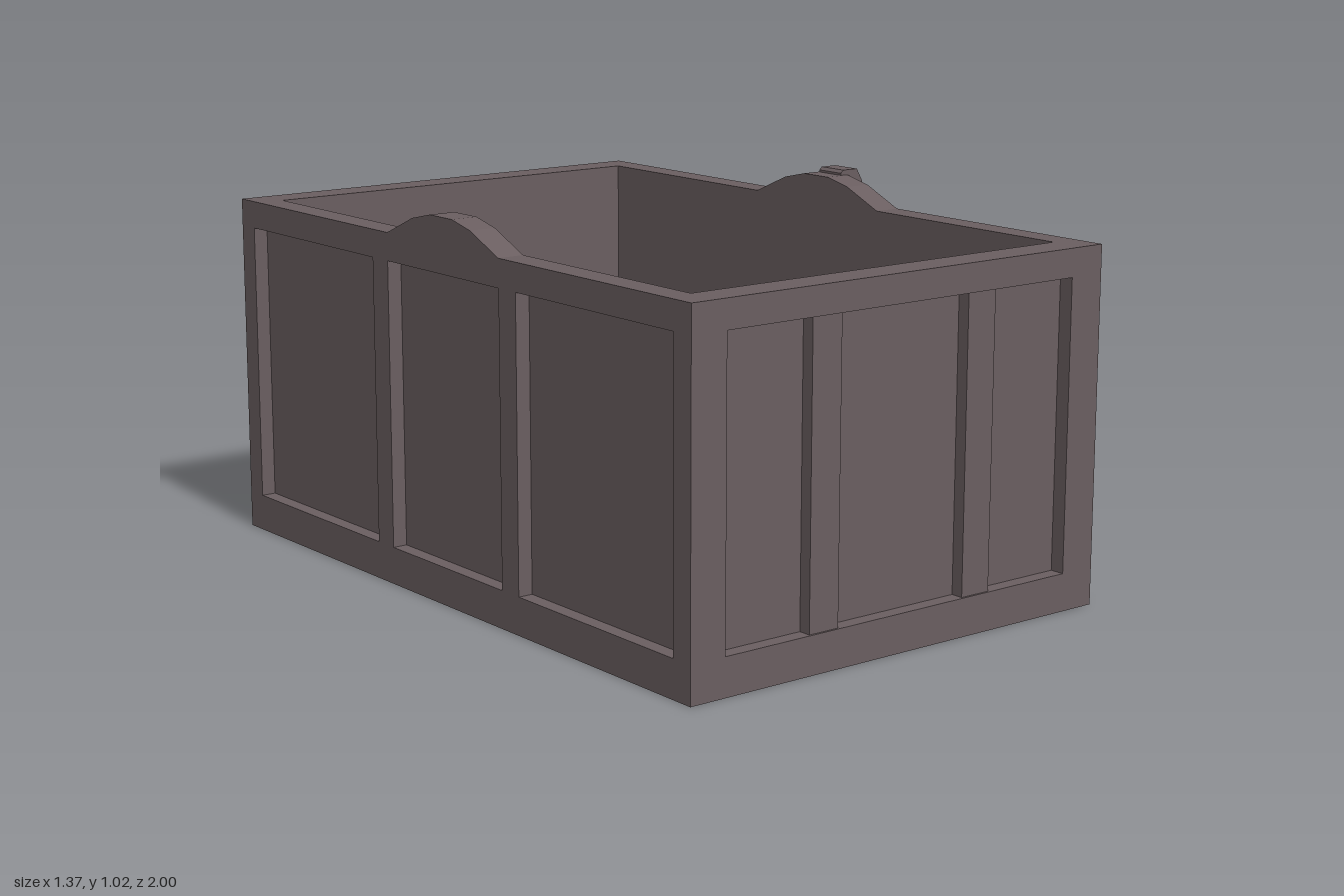
import * as THREE from 'three';

const material = new THREE.MeshStandardMaterial({ color: 0x6a5e60, flatShading: true });
const HEIGHT = 0.936, CENTER_X = -0.03, HALF_X = 0.655, HALF_Z = 1;
const SIDE_T = 0.074, END_T = 0.095, RECESS = 0.04;
const PANEL_LOW = 0.1, PANEL_HIGH = 0.862;

function addMesh(parent, name, geometry) {
  const mesh = new THREE.Mesh(geometry, material);
  mesh.name = name;
  parent.add(mesh);
  return mesh;
}

function shapeOf(points) {
  return new THREE.Shape(points.map(([x, y]) => new THREE.Vector2(x, y)));
}

// Flat slab whose outline lies in xy, running from z0 to z0 + depth
function slab(shape, z0, depth) {
  return new THREE.ExtrudeGeometry(shape, { depth, bevelEnabled: false }).translate(0, 0, z0);
}

// Wall with sunken panels: a pierced frame in front of a solid backing; outer face at z = 0
function panelWall(name, outline, panels, thickness) {
  const wall = new THREE.Group();
  wall.name = name;
  const frame = shapeOf(outline);
  for (const [a, b] of panels) {
    frame.holes.push(new THREE.Path([[a, PANEL_LOW], [a, PANEL_HIGH], [b, PANEL_HIGH], [b, PANEL_LOW]]
      .map(([x, y]) => new THREE.Vector2(x, y))));
  }
  addMesh(wall, 'panelFrame', slab(frame, -RECESS, RECESS));
  addMesh(wall, 'panelBacking', slab(shapeOf(outline), -thickness, thickness - RECESS));
  return wall;
}

export function createModel() {
  const model = new THREE.Group();
  model.name = 'openCrate';

  // Long side walls with a raised hump in the middle of the rim
  const sideOutline = [
    [-HALF_Z, 0], [HALF_Z, 0], [HALF_Z, HEIGHT],
    [0.25, HEIGHT], [0.13, 0.988], [0.05, 1.006], [-0.05, 1.006], [-0.13, 0.988], [-0.25, HEIGHT],
    [-HALF_Z, HEIGHT],
  ];
  const sidePanels = [[-0.936, -0.322], [-0.25, 0.25], [0.322, 0.936]];
  for (const s of [1, -1]) {
    const wall = panelWall(s > 0 ? 'leftWall' : 'rightWall', sideOutline, sidePanels, SIDE_T);
    wall.rotation.y = s * Math.PI / 2;
    wall.position.x = CENTER_X + s * HALF_X;
    model.add(wall);
  }

  // End walls fitted between the sides, each with two upright slats in the panel
  const w = HALF_X - SIDE_T;
  const endOutline = [[-w, 0], [w, 0], [w, HEIGHT], [-w, HEIGHT]];
  for (const s of [1, -1]) {
    const wall = panelWall(s > 0 ? 'frontWall' : 'backWall', endOutline, [[-0.552, 0.552]], END_T);
    for (const x of [-0.248, 0.248]) {
      const slat = addMesh(wall, 'slat', new THREE.BoxGeometry(0.09, PANEL_HIGH - PANEL_LOW, RECESS - 0.006));
      slat.position.set(x, (PANEL_LOW + PANEL_HIGH) / 2, -0.006 - (RECESS - 0.006) / 2);
    }
    wall.rotation.y = s > 0 ? 0 : Math.PI;
    wall.position.set(CENTER_X, 0, s * HALF_Z);
    model.add(wall);
  }

  // Floor
  const floorH = 0.147;
  addMesh(model, 'floor', new THREE.BoxGeometry(2 * w, floorH, 2 * (HALF_Z - END_T)))
    .position.set(CENTER_X, floorH / 2, 0);

  // Latch hooked over the left hump
  const latch = shapeOf([
    [0.603, 1.0], [0.625, 1.0], [0.625, 0.892], [0.662, 0.892],
    [0.682, 0.927], [0.682, 0.985], [0.662, 1.02], [0.612, 1.02], [0.603, 1.012],
  ]);
  addMesh(model, 'latch', slab(latch, -0.045, 0.09));

  return model;
}
